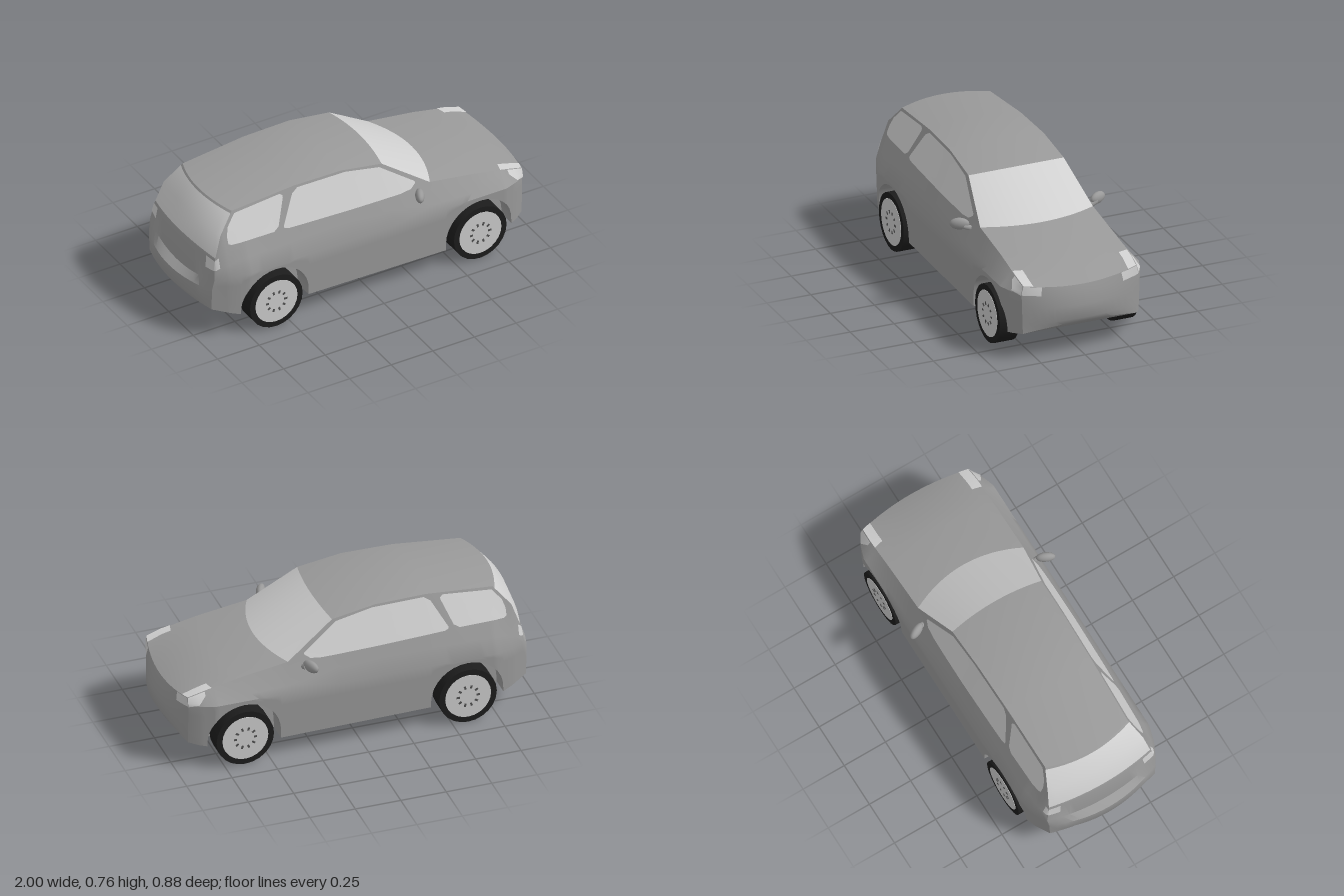
import * as THREE from 'three';
import { toCreasedNormals } from 'three/addons/utils/BufferGeometryUtils.js';

const material = (name, color) => {
  const m = new THREE.MeshStandardMaterial({ color });
  m.name = name;
  return m;
};

// Piecewise linear lookup through [x, y] knots
function lerpKnots(knots, x) {
  if (x <= knots[0][0]) return knots[0][1];
  for (let i = 1; i < knots.length; i++) {
    const [x0, y0] = knots[i - 1], [x1, y1] = knots[i];
    if (x <= x1) return y0 + (y1 - y0) * (x - x0) / (x1 - x0);
  }
  return knots[knots.length - 1][1];
}

// Surface from rows of points; flip reverses its facing, lift pushes it outward
function gridGeometry(rows, flip = false, lift = 0) {
  const n = rows[0].length, index = [];
  for (let i = 0; i < rows.length - 1; i++) {
    for (let j = 0; j < n - 1; j++) {
      const a = i * n + j, b = a + n, c = b + 1, d = a + 1;
      if (flip) index.push(a, c, b, a, d, c);
      else index.push(a, b, c, a, c, d);
    }
  }
  const g = new THREE.BufferGeometry();
  g.setAttribute('position', new THREE.Float32BufferAttribute(rows.flat(2), 3));
  g.setIndex(index);
  if (lift) {
    g.computeVertexNormals();
    const p = g.attributes.position, q = g.attributes.normal;
    for (let i = 0; i < p.count; i++) {
      p.setXYZ(i, p.getX(i) + q.getX(i) * lift, p.getY(i) + q.getY(i) * lift, p.getZ(i) + q.getZ(i) * lift);
    }
  }
  return toCreasedNormals(g, 0.6);
}

// Body rails: upper side edge, its half width, the widest line, and the sill
const TOP = [[-0.93, 0.3], [-0.92, 0.36], [-0.905, 0.47], [-0.86, 0.6], [-0.77, 0.705], [-0.4, 0.74],
  [-0.12, 0.74], [0.12, 0.702], [0.38, 0.525], [0.65, 0.485], [0.85, 0.443], [0.93, 0.42]];
const TOP_Z = [[-0.93, 0.32], [-0.77, 0.25], [0.12, 0.27], [0.38, 0.32], [0.85, 0.325], [0.93, 0.32]];
const MID_Z = [[-0.93, 0.325], [-0.84, 0.368], [-0.75, 0.393], [0.8, 0.393], [0.88, 0.365], [0.93, 0.33]];
const SILL = [[-0.93, 0.18], [-0.78, 0.13], [0.47, 0.11], [0.82, 0.13], [0.93, 0.15]];
const MID_Y = 0.38, ARCH_R = 0.2, WHEEL_Y = 0.158, WHEEL_X = [-0.585, 0.64];

function sideZ(x, y) {
  const top = lerpKnots(TOP, x), mid = lerpKnots(MID_Z, x);
  if (y <= MID_Y) return mid * (1 - 0.1 * (MID_Y - y));
  const t = Math.min(1, (y - MID_Y) / Math.max(0.01, top - MID_Y));
  return mid + (lerpKnots(TOP_Z, x) - mid) * t;
}

// Lower edge of the side, rising over the wheels
function archY(x) {
  for (const cx of WHEEL_X) {
    const d = Math.abs(x - cx);
    if (d <= ARCH_R + 1e-6) return WHEEL_Y + Math.sqrt(Math.max(0, ARCH_R ** 2 - d * d));
  }
  return lerpKnots(SILL, x);
}

// Stations round the car from rear bumper to nose: corner x, corner y, centre x, centre y
const STATIONS = [
  [-0.93, 0.18, -0.93, 0.18], [-0.93, 0.18, -0.98, 0.19], [-0.93, 0.23, -1, 0.22], [-0.93, 0.3, -1, 0.295],
  [-0.92, 0.36, -0.955, 0.32], [-0.905, 0.47, -0.945, 0.49], [-0.86, 0.6, -0.895, 0.62], [-0.77, 0.705, -0.82, 0.715],
  [-0.4, 0.74, -0.42, 0.76], [-0.12, 0.74, -0.12, 0.76], [0.12, 0.702, 0.145, 0.715],
  [0.38, 0.525, 0.46, 0.53], [0.65, 0.485, 0.71, 0.493], [0.85, 0.443, 0.89, 0.44], [0.93, 0.42, 0.975, 0.397],
  [0.93, 0.38, 0.987, 0.36], [0.93, 0.3, 1, 0.29], [0.93, 0.2, 1, 0.215], [0.93, 0.15, 0.985, 0.19],
  [0.93, 0.15, 0.93, 0.15]];

// Point on the wrap-over surface: s runs along stations, t = 1..-1 across the car
function wrapPoint(s, t) {
  const i = Math.min(STATIONS.length - 2, Math.floor(s)), f = s - i;
  const at = ([x, y, cx, cy]) => {
    const k = 1 - t * t;
    return [x + (cx - x) * k, y + (cy - y) * k, sideZ(x, y) * t];
  };
  const a = at(STATIONS[i]), b = at(STATIONS[i + 1]);
  return a.map((v, j) => v + (b[j] - v) * f);
}

function wrapPatch(s0, s1, t0 = 1, t1 = -1, lift = 0, across = 16) {
  const cuts = [s0];
  for (let s = Math.floor(s0) + 1; s < s1; s++) cuts.push(s);
  cuts.push(s1);
  return gridGeometry(cuts.map(s => Array.from({ length: across + 1 },
    (_, j) => wrapPoint(s, t0 + (t1 - t0) * j / across))), false, lift);
}

// Thin plate on a side, bounded by lower and upper lines
function sidePatch(low, high, sign) {
  const xs = [...new Set([...low, ...high].map(p => p[0]))].sort((a, b) => a - b);
  const rows = xs.map(x => Array.from({ length: 6 }, (_, j) => {
    const a = lerpKnots(low, x), y = a + (lerpKnots(high, x) - a) * j / 5;
    return [x, y, sideZ(x, y) * sign];
  }));
  return gridGeometry(rows, sign < 0, 0.004);
}

export function createModel() {
  const paint = material('body paint', 0x999999);
  const glass = material('glass and lamps', 0xd0d0d0);
  const rubber = material('tyre rubber', 0x1c1c1c);
  const metal = material('rim metal', 0xcacaca);
  const dark = material('rim recess', 0x505050);
  const car = new THREE.Group();
  car.name = 'car';
  const add = (name, geometry, mat, parent = car) => {
    const m = new THREE.Mesh(geometry, mat);
    m.name = name;
    parent.add(m);
    return m;
  };

  // Columns along the body, dense round the wheel arches
  const columns = [...TOP, ...TOP_Z, ...MID_Z, ...SILL].map(p => p[0]);
  for (const cx of WHEEL_X) {
    for (let k = 0; k <= 16; k++) columns.push(cx + ARCH_R * Math.cos(Math.PI * k / 16));
    columns.push(cx - ARCH_R - 0.0005, cx + ARCH_R + 0.0005);
  }
  const xs = [...new Set(columns)].sort((a, b) => a - b);

  // Wrap-over shell, split at the glass
  add('tailgate', wrapPatch(0, 5.1), paint);
  add('rearWindow', wrapPatch(5.1, 6.9), glass);
  add('roof', wrapPatch(6.9, 10), paint);
  add('windscreen', wrapPatch(10, 11), glass);
  add('bonnetAndNose', wrapPatch(11, 19), paint);

  // Underside with wheel wells
  add('underside', gridGeometry(xs.map(x => {
    const a = archY(x), f = lerpKnots(SILL, x), z = sideZ(x, a);
    return [[x, a, -z], [x, a, -0.27], [x, f, -0.27], [x, f, 0.27], [x, a, 0.27], [x, a, z]];
  })), paint);

  for (const sign of [1, -1]) {
    const side = new THREE.Group();
    side.name = sign > 0 ? 'frontFacingSide' : 'backFacingSide';
    car.add(side);
    add('sidePanel', gridGeometry(xs.map(x => {
      const lo = archY(x), hi = lerpKnots(TOP, x), mid = Math.min(hi, Math.max(lo, MID_Y));
      return Array.from({ length: 9 }, (_, j) => {
        const y = j < 4 ? lo + (mid - lo) * j / 4 : mid + (hi - mid) * (j - 4) / 4;
        return [x, y, sideZ(x, y) * sign];
      });
    }), sign < 0), paint, side);

    // Side glass
    add('quarterWindow', sidePatch(
      [[-0.825, 0.55], [-0.81, 0.542], [-0.56, 0.545], [-0.53, 0.565], [-0.475, 0.7]],
      [[-0.825, 0.59], [-0.81, 0.635], [-0.76, 0.692], [-0.49, 0.721], [-0.475, 0.71]], sign), glass, side);
    add('doorWindow', sidePatch(
      [[-0.5, 0.55], [-0.48, 0.542], [0.2, 0.525], [0.26, 0.53], [0.29, 0.55]],
      [[-0.5, 0.56], [-0.42, 0.705], [-0.385, 0.728], [-0.1, 0.728], [0.1, 0.691], [0.29, 0.56]], sign), glass, side);

    // Lamps wrap round the corners
    const across = (a, b) => sign > 0 ? [b, a] : [-a, -b];
    add('headlampTop', wrapPatch(12.75, 14, ...across(0.84, 1), 0.003, 6), glass, side);
    add('headlampFront', wrapPatch(14, 15.1, ...across(0.7, 1), 0.003, 6), glass, side);
    add('headlampSide', sidePatch([[0.84, 0.425], [0.88, 0.385], [0.93, 0.37]],
      [[0.84, 0.443], [0.93, 0.419]], sign), glass, side);
    add('tailLampRear', wrapPatch(4.5, 5, ...across(0.8, 1), 0.003, 6), glass, side);
    add('tailLampSide', sidePatch([[-0.912, 0.415], [-0.885, 0.43]],
      [[-0.912, 0.418], [-0.904, 0.47], [-0.885, 0.485]], sign), glass, side);

    // Door mirror
    const mirror = add('doorMirror', new THREE.SphereGeometry(1, 16, 10), paint, side);
    mirror.scale.set(0.024, 0.032, 0.052);
    mirror.position.set(0.278, 0.517, sign * 0.392);
    mirror.rotation.y = -sign * 0.45;
    const stalk = add('mirrorStalk', new THREE.CylinderGeometry(0.012, 0.016, 0.06, 8), paint, side);
    stalk.position.set(0.3, 0.498, sign * 0.353);
    stalk.rotation.x = sign * 1.2;

    // Wheels
    for (const x of WHEEL_X) {
      const wheel = new THREE.Group();
      wheel.name = x > 0 ? 'noseWheel' : 'tailWheel';
      wheel.position.set(x, WHEEL_Y, sign * 0.339);
      if (sign < 0) wheel.rotation.y = Math.PI;
      side.add(wheel);
      const tyre = add('tyre', toCreasedNormals(new THREE.CylinderGeometry(0.158, 0.158, 0.11, 24), 0.6), rubber, wheel);
      tyre.rotation.x = Math.PI / 2;
      const rim = add('rim', toCreasedNormals(new THREE.CylinderGeometry(0.126, 0.126, 0.114, 24), 0.6), metal, wheel);
      rim.rotation.x = Math.PI / 2;
      // Small recesses round the hub
      for (let k = 0; k < 10; k++) {
        const a = k * Math.PI / 5;
        const slot = add('rimSlot', new THREE.BoxGeometry(0.018, 0.011, 0.004), dark, wheel);
        slot.position.set(Math.cos(a) * 0.055, Math.sin(a) * 0.055, 0.057);
        slot.rotation.z = a;
      }
    }
  }
  return car;
}
